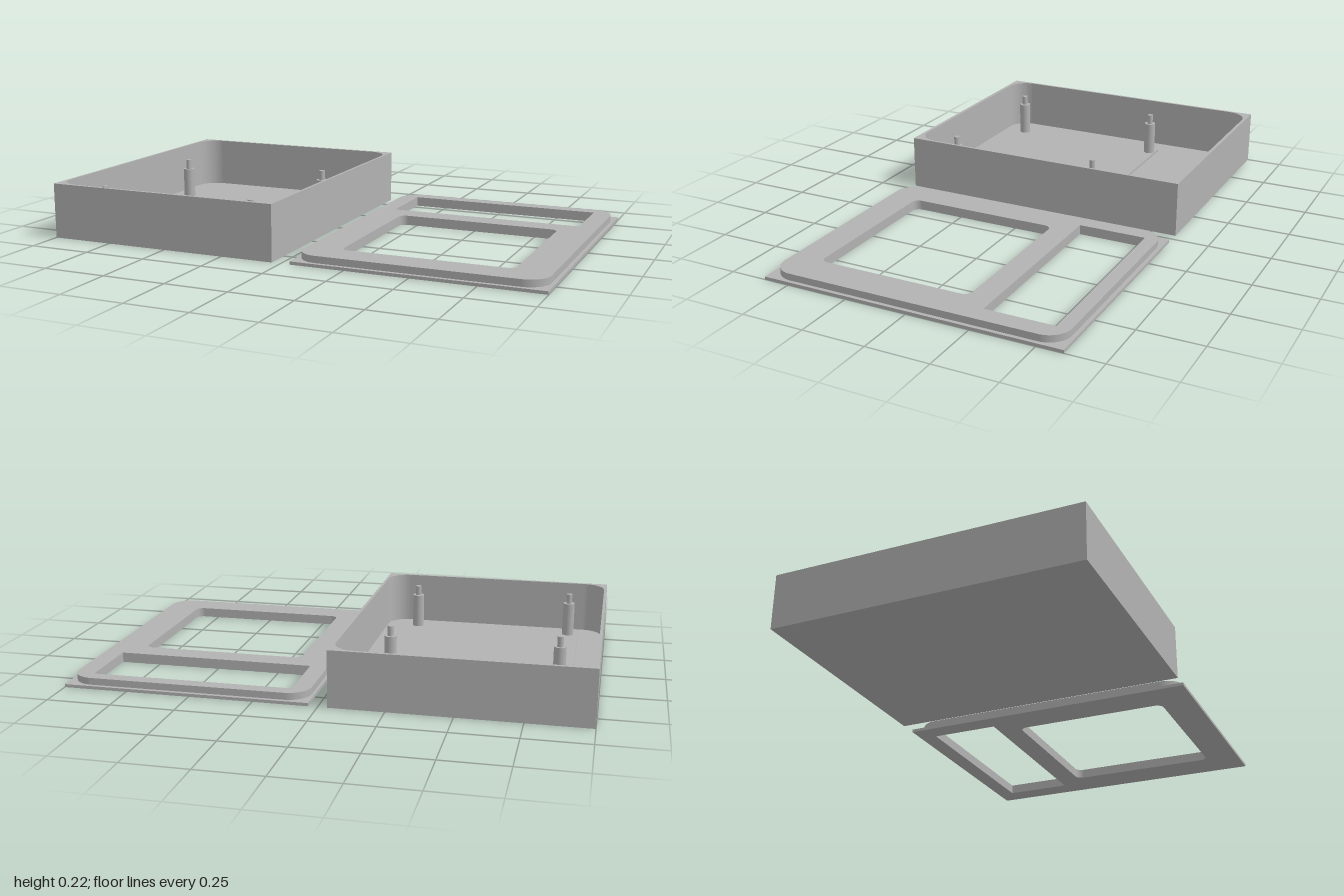
import * as THREE from 'three';

const grey = new THREE.MeshStandardMaterial({ color: 0xb2b2b2 });
grey.name = 'plain grey';

// Traces a rectangle, with rounded corners if r > 0, in plan (x, z)
function trace(path, x0, x1, z0, z1, r = 0) {
  // shape y becomes -z once the extrusion is laid flat
  const a = -z1, b = -z0;
  if (r === 0) {
    path.moveTo(x0, a).lineTo(x1, a).lineTo(x1, b).lineTo(x0, b);
  } else {
    path.moveTo(x0 + r, a).lineTo(x1 - r, a);
    path.absarc(x1 - r, a + r, r, -Math.PI / 2, 0);
    path.absarc(x1 - r, b - r, r, 0, Math.PI / 2);
    path.absarc(x0 + r, b - r, r, Math.PI / 2, Math.PI);
    path.absarc(x0 + r, a + r, r, Math.PI, Math.PI * 1.5);
  }
  path.closePath();
  return path;
}

// Flat slab from y0 to y1 with cut-outs
function slab(name, outline, holes, y0, y1) {
  const shape = trace(new THREE.Shape(), ...outline);
  for (const h of holes) shape.holes.push(trace(new THREE.Path(), ...h));
  const geo = new THREE.ExtrudeGeometry(shape, { depth: y1 - y0, bevelEnabled: false, curveSegments: 12 });
  geo.rotateX(-Math.PI / 2).translate(0, y0, 0);
  const mesh = new THREE.Mesh(geo, grey);
  mesh.name = name;
  return mesh;
}

function cylinder(name, r, y0, y1, x, z) {
  const mesh = new THREE.Mesh(new THREE.CylinderGeometry(r, r, y1 - y0, 24), grey);
  mesh.position.set(x, (y0 + y1) / 2, z);
  mesh.name = name;
  return mesh;
}

export function createModel() {
  const model = new THREE.Group();
  model.name = 'enclosure';

  // Open box: floor, and a thin wall with rounded inner corners
  const box = new THREE.Group();
  box.name = 'box';
  const boxOutline = [-1, -0.036, -0.602, 0.602];
  box.add(slab('floor', boxOutline, [], 0, 0.012));
  box.add(slab('wall', boxOutline, [[-0.989, -0.047, -0.588, 0.588, 0.085]], 0.012, 0.22));

  // Raised mounting plate with four stepped posts
  box.add(slab('mountingPlate', [-0.89, -0.15, -0.2, 0.545], [], 0.012, 0.021));
  for (const x of [-0.845, -0.187]) {
    for (const z of [-0.172, 0.476]) {
      box.add(cylinder('post', 0.024, 0.021, 0.16, x, z));
      box.add(cylinder('postPin', 0.012, 0.16, 0.2, x, z));
    }
  }

  // Lid: thin flange and a raised lip, both cut by two windows
  const lid = new THREE.Group();
  lid.name = 'lid';
  const windows = [
    [0.118, 0.909, -0.532, -0.257],
    [0.182, 0.845, -0.163, 0.465, 0.03],
  ];
  lid.add(slab('lidFlange', [0.036, 1, -0.602, 0.602], windows, 0, 0.012));
  lid.add(slab('lidLip', [0.047, 0.985, -0.586, 0.586, 0.085], windows, 0.012, 0.039));

  model.add(box, lid);
  return model;
}
